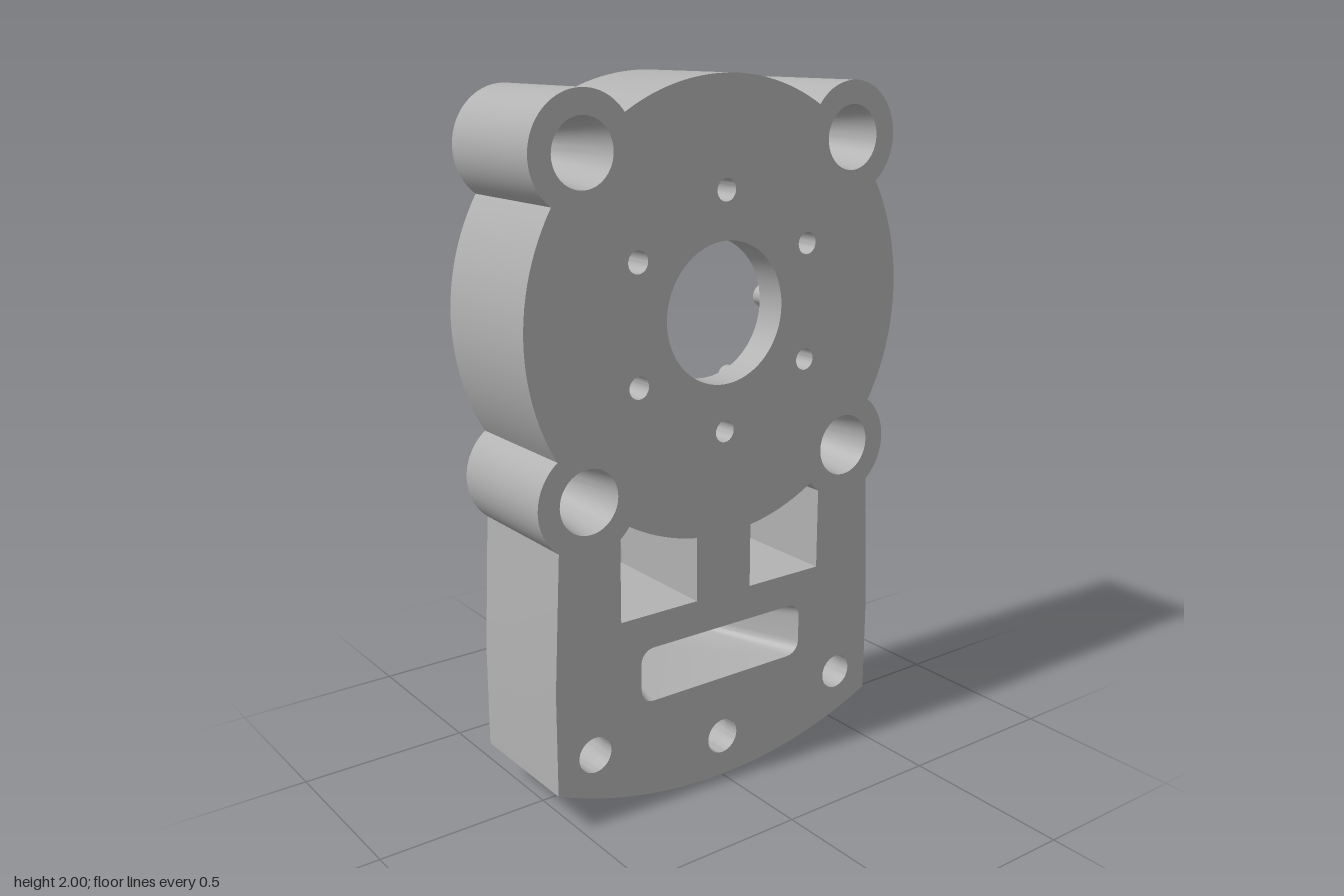
import * as THREE from 'three';
import { mergeGeometries, toCreasedNormals } from 'three/addons/utils/BufferGeometryUtils.js';

const FRONT = 0.187, BACK = -0.187;      // outer faces
const LEDGE = 0.033, RECESS = 0.093;     // floors inside the rear cavity
const CY = 1.375, R = 0.625;             // main disc
const LOBE = 0.444, LOBE_R = 0.155;      // screw lobes, offset from disc centre

// Points along an arc, angles in degrees
function arc(cx, cy, r, a0, a1, n) {
  return Array.from({ length: n + 1 }, (_, i) => {
    const a = THREE.MathUtils.degToRad(a0 + (a1 - a0) * i / n);
    return new THREE.Vector2(cx + r * Math.cos(a), cy + r * Math.sin(a));
  });
}
const circle = (cx, cy, r, n = 40) => arc(cx, cy, r, 0, 360, n).slice(0, -1);
const point = (x, y) => new THREE.Vector2(x, y);
const mirror = (pts) => pts.map((p) => point(-p.x, p.y)).reverse();

function roundedRect(x, y0, y1, r) {
  return [
    ...arc(x - r, y0 + r, r, -90, 0, 6), ...arc(x - r, y1 - r, r, 0, 90, 6),
    ...arc(-x + r, y1 - r, r, 90, 180, 6), ...arc(-x + r, y0 + r, r, 180, 270, 6),
  ];
}

// Strip between two counter-clockwise loops; faces outward when zA > zB, inward otherwise
function wall(a, zA, b, zB) {
  const v = [];
  a.forEach((p, i) => {
    const j = (i + 1) % a.length, q = a[j], s = b[i], t = b[j];
    v.push(p.x, p.y, zA, s.x, s.y, zB, t.x, t.y, zB);
    v.push(p.x, p.y, zA, t.x, t.y, zB, q.x, q.y, zA);
  });
  const g = new THREE.BufferGeometry();
  g.setAttribute('position', new THREE.Float32BufferAttribute(v, 3));
  return toCreasedNormals(g, 0.5);
}

// Flat face with holes, facing front or back
function cap(loop, holes, z, facesBack) {
  const shape = new THREE.Shape(loop);
  shape.holes = holes.map((h) => new THREE.Path(h));
  const g = new THREE.ShapeGeometry(shape).translate(0, 0, z);
  if (facesBack) g.index.array.reverse();
  const flat = g.toNonIndexed();
  flat.deleteAttribute('uv');
  flat.computeVertexNormals();
  return flat;
}

export function createModel() {
  const group = new THREE.Group();
  const metal = new THREE.MeshStandardMaterial({ color: 0xb2b2b2 });
  metal.name = 'plain grey';
  const add = (name, ...geos) => {
    const mesh = new THREE.Mesh(mergeGeometries(geos), metal);
    mesh.name = name;
    group.add(mesh);
  };

  // Outline: curved foot, straight side, lobes and disc, mirrored to the other half
  const half = [
    ...arc(0, CY, CY, -90, -65.96, 12),
    point(0.56, 0.42),
    ...arc(LOBE, CY - LOBE, LOBE_R, -51.7, 53.2, 20),
    ...arc(0, CY, R, -30.8, 30.8, 24).slice(1),
    ...arc(LOBE, CY + LOBE, LOBE_R, -53.2, 143.2, 36).slice(1),
    ...arc(0, CY, R, 59.2, 90, 14).slice(1),
  ];
  const outline = [...half, ...mirror(half).slice(1, -1)];

  // Windows bounded above by the lobe and the disc
  const windowLoop = [
    point(0.35, 0.57),
    ...arc(LOBE, CY - LOBE, LOBE_R, -127.4, -143.2, 4),
    ...arc(0, CY, R, -59.2, -81.25, 10).slice(1),
    point(0.095, 0.57),
  ];
  const windows = [windowLoop, mirror(windowLoop)];

  // Tapered slot
  const slotFront = roundedRect(0.285, 0.31, 0.47, 0.04);
  const slotBack = roundedRect(0.155, 0.31, 0.402, 0.022);

  // Screw positions
  const lobeSpots = [];
  for (const sx of [-1, 1]) for (const sy of [-1, 1]) lobeSpots.push([sx * LOBE, CY + sy * LOBE]);
  const footSpots = [[-0.44, 0.205], [0, 0.124], [0.44, 0.205]];
  const narrow = ([x, y]) => circle(x, y, 0.052);
  const wide = ([x, y]) => circle(x, y, 0.09);

  // Rear cavity, six-armed recess, hub bore and ring of small holes
  const cavity = circle(0, CY, 0.515, 96);
  const hub = circle(0, CY, 0.195, 64);
  const star = [], ringHoles = [];
  for (let k = 0; k < 6; k++) {
    const arm = 30 + k * 60, valley = arm + 30;
    const [tip] = arc(0, CY, 0.455, arm, arm, 1);
    const [root] = arc(0, CY, 0.25, valley, valley, 1);
    const [hole] = arc(0, CY, 0.328, arm, arm, 1);
    star.push(...arc(tip.x, tip.y, 0.05, arm - 77, arm + 77, 12));
    star.push(...arc(root.x, root.y, 0.03, valley + 228, valley + 132, 6));
    ringHoles.push(circle(hole.x, hole.y, 0.031, 24));
  }

  add('frontFace', cap(outline,
    [...windows, slotFront, hub, ...ringHoles, ...lobeSpots.map(wide), ...footSpots.map(narrow)], FRONT, false));
  add('backFace', cap(outline,
    [...windows, slotBack, cavity, ...lobeSpots.map(narrow), ...footSpots.map(wide)], BACK, true));
  add('outerWall', wall(outline, FRONT, outline, BACK));
  add('windowWalls', ...windows.map((w) => wall(w, BACK, w, FRONT)));
  add('taperedSlot', wall(slotBack, BACK, slotFront, FRONT));
  add('rearCavity', wall(cavity, BACK, cavity, LEDGE), cap(cavity, [star], LEDGE, true));
  add('starRecess', wall(star, LEDGE, star, RECESS), cap(star, [hub, ...ringHoles], RECESS, true));
  add('hubBore', wall(hub, RECESS, hub, FRONT));
  add('ringHoles', ...ringHoles.map((h) => wall(h, RECESS, h, FRONT)));

  // Conical screw holes: lobes open to the front, foot holes to the back
  add('lobeScrewHoles', ...lobeSpots.flatMap((s) => [
    wall(narrow(s), BACK, narrow(s), -0.14), wall(narrow(s), -0.14, wide(s), FRONT)]));
  add('footScrewHoles', ...footSpots.flatMap((s) => [
    wall(wide(s), BACK, narrow(s), 0.14), wall(narrow(s), 0.14, narrow(s), FRONT)]));
  return group;
}
